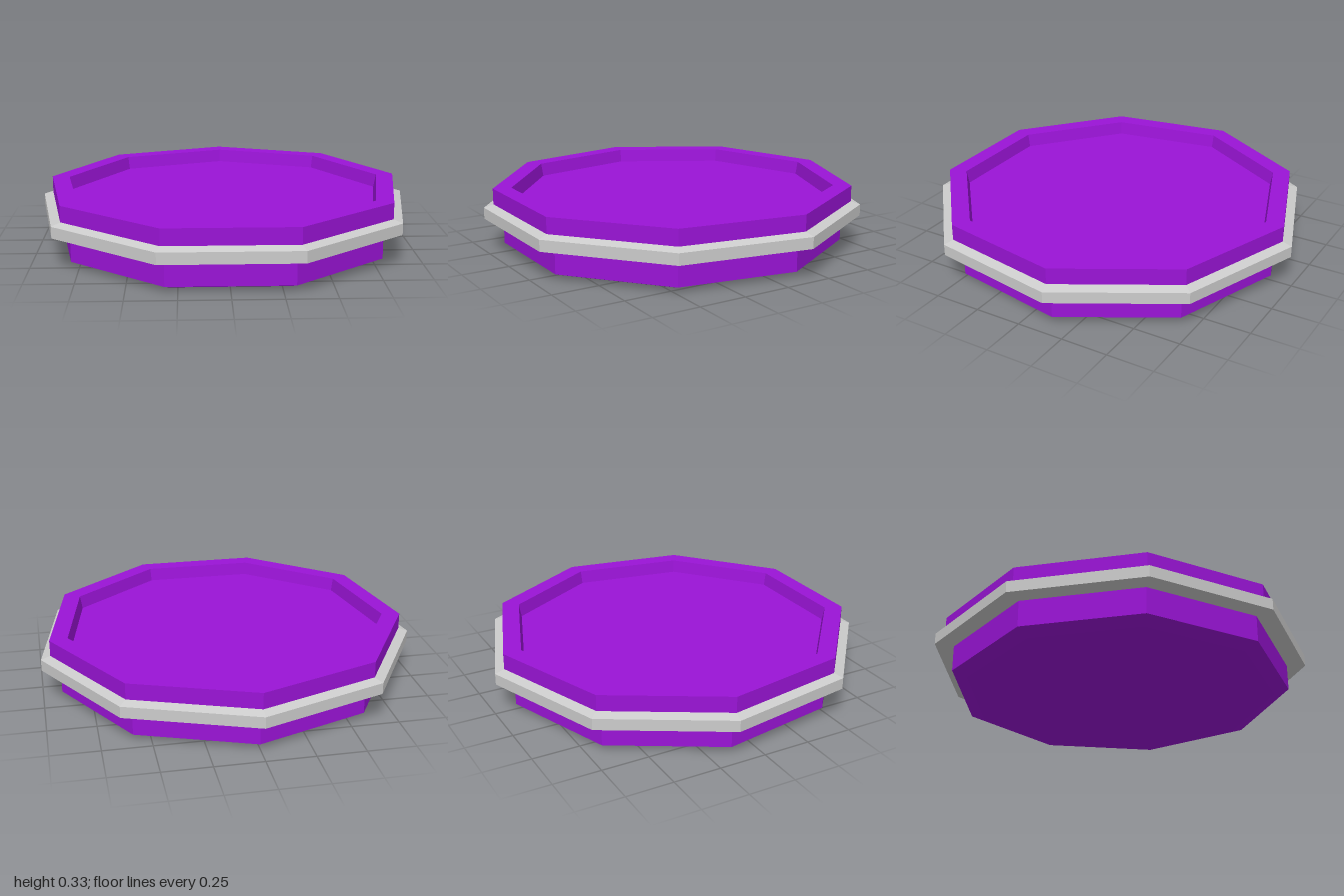
import * as THREE from 'three';

const SIDES = 9;

// Nine-sided solid of revolution with one corner pointing to the back;
// profile points are [corner radius, height], listed bottom to top.
function nonagon(name, profile, color) {
  const points = profile.map(([r, y]) => new THREE.Vector2(r, y));
  const geometry = new THREE.LatheGeometry(points, SIDES, Math.PI);
  const material = new THREE.MeshStandardMaterial({ color, flatShading: true });
  const mesh = new THREE.Mesh(geometry, material);
  mesh.name = name;
  return mesh;
}

export function createModel() {
  const group = new THREE.Group();
  group.name = 'nonagonalPlatform';

  // Base with a chamfered underside
  group.add(nonagon('base', [
    [0, 0], [0.836, 0], [0.915, 0.028], [0.915, 0.168],
  ], 0x9a14d6));

  // Projecting band with a sloped top
  group.add(nonagon('band', [
    [0.915, 0.167], [1.0154, 0.167], [1.0154, 0.227], [0.965, 0.243],
  ], 0xcccccc));

  // Raised rim around a shallow recessed floor
  group.add(nonagon('recessedTop', [
    [0.965, 0.242], [0.965, 0.328], [0.868, 0.328], [0.855, 0.258], [0, 0.258],
  ], 0x9a14d6));

  // Centre the odd-sided outline front to back
  group.children.forEach((part) => { part.position.z = 0.03; });
  return group;
}
